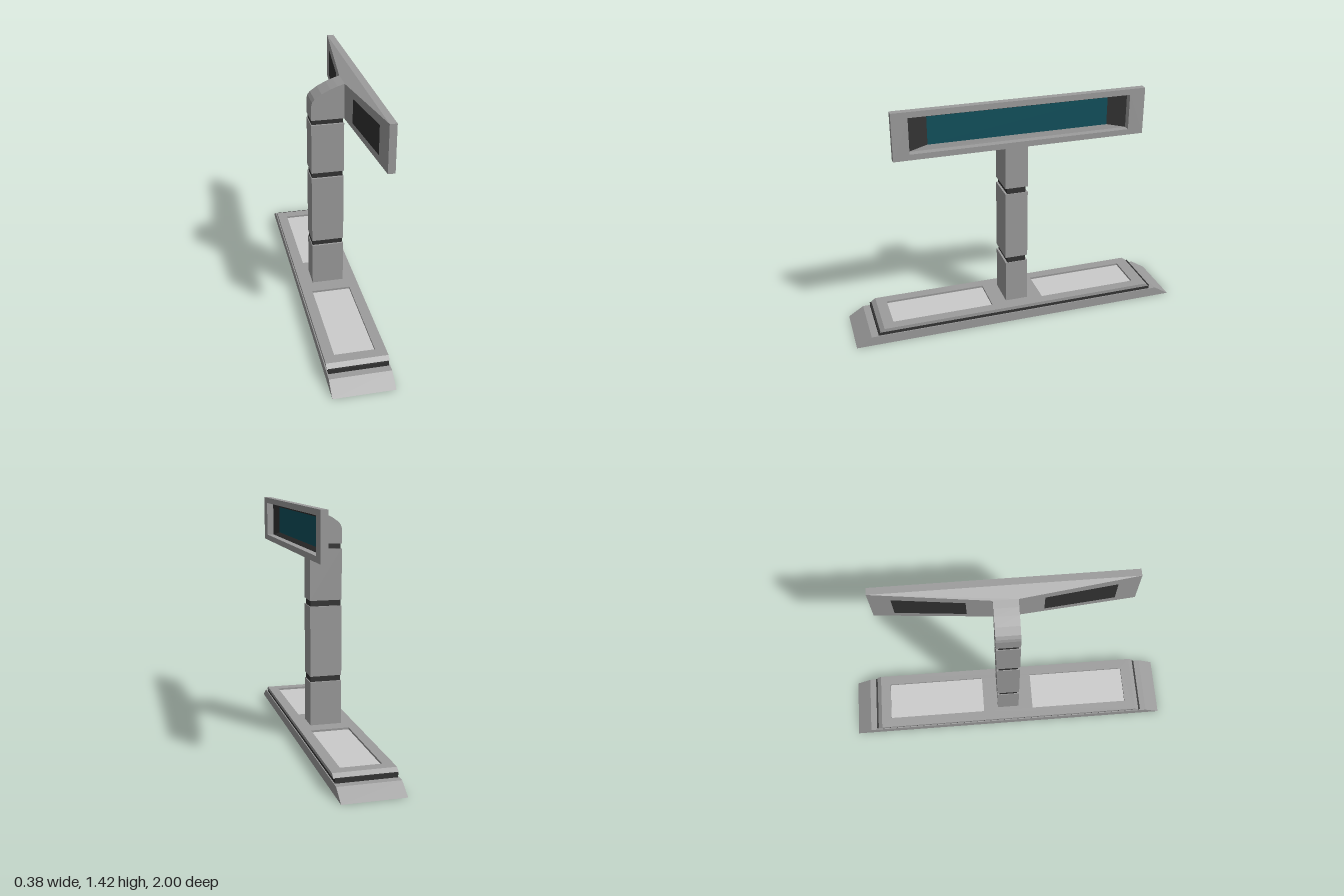
import * as THREE from 'three';

const mat = (color) => new THREE.MeshStandardMaterial({ color, side: THREE.DoubleSide });

export function createModel() {
  const group = new THREE.Group();
  const shell = mat(0x9c9c9c), dark = mat(0x333333), pale = mat(0xcccccc), teal = mat(0x0f505c);

  const add = (name, geometry, material) => {
    const mesh = new THREE.Mesh(geometry, material);
    mesh.name = name;
    group.add(mesh);
    return mesh;
  };

  // Box given by its limits on each axis
  const box = (x0, x1, y0, y1, z0, z1) =>
    new THREE.BoxGeometry(x1 - x0, y1 - y0, z1 - z0)
      .translate((x0 + x1) / 2, (y0 + y1) / 2, (z0 + z1) / 2);

  // Move vertices by a rule and refresh the flat normals
  const reshape = (geometry, rule) => {
    const p = geometry.attributes.position, v = new THREE.Vector3();
    for (let i = 0; i < p.count; i++) {
      rule(v.fromBufferAttribute(p, i));
      p.setXYZ(i, v.x, v.y, v.z);
    }
    geometry.computeVertexNormals();
    return geometry;
  };

  // Tapered tray along x: wide open mouth at x1, smaller closed end at x0
  const tray = (x0, x1, mouth, end) => {
    const g = box(x0, x1, -1, 1, -1, 1);
    g.setIndex(Array.from(g.index.array).slice(6)); // drop the +x side
    g.clearGroups();
    const mid = (x0 + x1) / 2;
    return reshape(g, (v) => {
      const [y0, y1, z] = v.x > mid ? mouth : end;
      v.y = v.y > 0 ? y1 : y0;
      v.z *= z;
    });
  };

  const rect = (x0, x1, y0, y1, Type = THREE.Shape) =>
    new Type([[x0, y0], [x1, y0], [x1, y1], [x0, y1]].map(([x, y]) => new THREE.Vector2(x, y)));
  const extrude = (shape, depth) =>
    new THREE.ExtrudeGeometry(shape, { depth, bevelEnabled: false });

  // Base: sloped foot, dark groove, top plate with two sunken panels
  add('foot', reshape(box(-0.19, 0.16, 0, 0.057, -1, 1), (v) => {
    if (v.y > 0.03) v.z *= 0.91;
  }), shell);
  add('baseGroove', box(-0.184, 0.154, 0.055, 0.082, -0.868, 0.868), dark);

  const plate = rect(-0.19, 0.16, -0.86, 0.86);
  for (const s of [-1, 1]) {
    plate.holes.push(rect(-0.13, 0.1, s < 0 ? -0.77 : 0.16, s < 0 ? -0.16 : 0.77, THREE.Path));
    add('basePanel', box(-0.13, 0.1, 0.08, 0.088, s * 0.465 - 0.305, s * 0.465 + 0.305), pale);
  }
  add('topPlate', reshape(extrude(plate, 0.02).rotateX(-Math.PI / 2).translate(0, 0.08, 0), (v) => {
    if (v.y > 0.09 && Math.abs(v.z) > 0.8) v.z = Math.sign(v.z) * 0.832;
  }), shell);

  // Column segments separated by dark recessed joints
  for (const [y0, y1] of [[0.1, 0.365], [0.4, 0.82], [0.855, 1.155]]) {
    add('columnSegment', box(-0.11, 0.08, y0, y1, -0.068, 0.068), shell);
  }
  for (const [y0, y1] of [[0.365, 0.4], [0.82, 0.855], [1.155, 1.185]]) {
    add('columnJoint', box(-0.106, 0.076, y0, y1, -0.056, 0.056), dark);
  }

  // Rounded neck at the top of the column
  const neck = new THREE.Shape([
    [-0.11, 1.185], [0.08, 1.185], [0.08, 1.39], [0.04, 1.378], [0, 1.363],
    [-0.05, 1.338], [-0.09, 1.31], [-0.104, 1.292], [-0.11, 1.27],
  ].map(([x, y]) => new THREE.Vector2(x, y)));
  add('neck', extrude(neck, 0.136).translate(0, 0, -0.068), shell);

  // Head: tapered rear housing and front frame
  add('headHousing', tray(0.08, 0.15, [1.15, 1.42, 0.72], [1.183, 1.39, 0.068]), shell);
  const frame = rect(-0.72, 0.72, 1.15, 1.42);
  frame.holes.push(rect(-0.63, 0.63, 1.183, 1.387, THREE.Path));
  add('headFrame', extrude(frame, 0.04).rotateY(Math.PI / 2).translate(0.15, 0, 0), shell);

  // Sunken screen with dark sloping surround
  add('screenSurround', tray(0.13, 0.15, [1.183, 1.387, 0.63], [1.205, 1.365, 0.52]), dark);
  add('screen', new THREE.PlaneGeometry(1.04, 0.16).rotateY(Math.PI / 2)
    .translate(0.132, 1.285, 0), teal);

  // Dark panels lying on the two sloping rear faces
  for (const s of [-1, 1]) {
    const panel = reshape(new THREE.PlaneGeometry(2, 2).rotateY(-Math.PI / 2), (v) => {
      const outer = v.z * s > 0;
      v.set(outer ? 0.135 : 0.093,
        v.y > 0 ? (outer ? 1.366 : 1.355) : (outer ? 1.2 : 1.213),
        s * (outer ? 0.6 : 0.21));
    });
    add('rearPanel', panel, dark);
  }
  return group;
}
